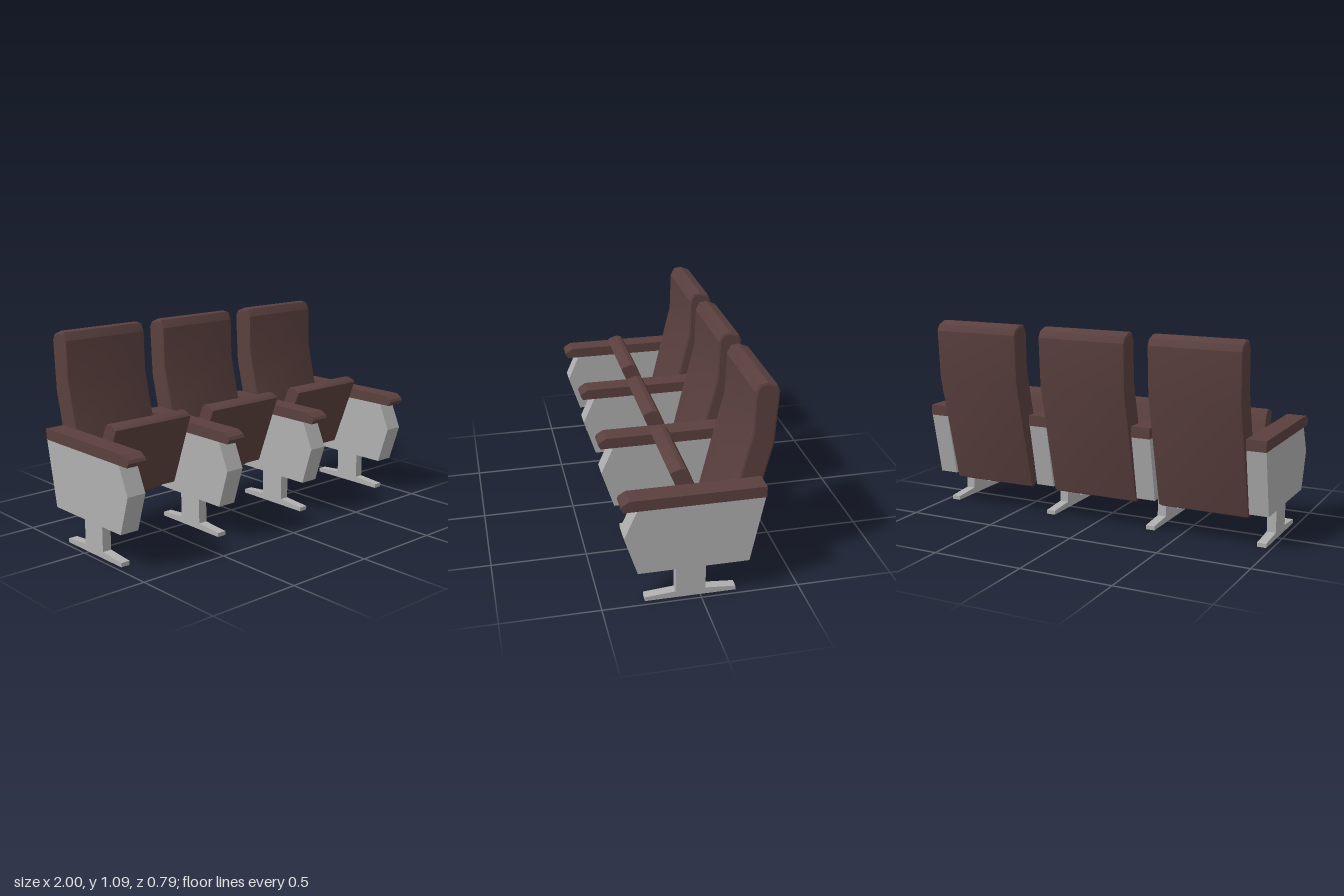
import * as THREE from 'three';
import { toCreasedNormals } from 'three/addons/utils/BufferGeometryUtils.js';

// Extrude a side profile of [z, y] points across x, centred on x = 0
function slab(points, width, bevel = 0) {
  const shape = new THREE.Shape(points.map(([z, y]) => new THREE.Vector2(z, y)));
  const depth = width - 2 * bevel;
  const geo = new THREE.ExtrudeGeometry(shape, {
    depth,
    bevelEnabled: bevel > 0,
    bevelThickness: bevel,
    bevelSize: bevel * 0.75,
    bevelOffset: -bevel * 0.75,
    bevelSegments: 2,
  });
  geo.translate(0, 0, -depth / 2);
  geo.rotateY(-Math.PI / 2);
  return geo;
}

export function createModel() {
  const model = new THREE.Group();
  model.name = 'seatRow';

  const upholstery = new THREE.MeshStandardMaterial({ color: 0x5a403e });
  upholstery.name = 'brown upholstery';
  const metal = new THREE.MeshStandardMaterial({ color: 0xb0b0b0 });
  metal.name = 'grey metal';

  const add = (group, name, geo, material) => {
    const mesh = new THREE.Mesh(geo, material);
    mesh.name = name;
    group.add(mesh);
  };

  // Backrest: upright headrest bending into a sloped lower part
  const backGeo = toCreasedNormals(slab([
    [-0.115, 0.21], [-0.16, 0.185], [-0.215, 0.158], [-0.235, 0.167],
    [-0.38, 0.765], [-0.395, 1.035], [-0.378, 1.068], [-0.33, 1.087],
    [-0.29, 1.083], [-0.268, 1.04], [-0.262, 0.83], [-0.205, 0.595],
  ], 0.505, 0.017), 0.4);

  // Folded seat cushion, slightly narrower towards its upper edge
  const seatGeo = slab([
    [-0.03, 0.245], [-0.085, 0.25], [-0.105, 0.275], [0.02, 0.595],
    [0.04, 0.645], [0.055, 0.664], [0.08, 0.67], [0.12, 0.657], [0.135, 0.645],
  ], 0.51, 0.006);
  const pos = seatGeo.attributes.position;
  for (let i = 0; i < pos.count; i++) {
    const t = (pos.getY(i) - 0.25) / 0.42;
    pos.setX(i, pos.getX(i) * (1 - 0.07 * t));
  }
  const creasedSeat = toCreasedNormals(seatGeo, 0.4);

  [-0.64, -0.009, 0.637].forEach((x, i) => {
    const chair = new THREE.Group();
    chair.name = `chair${i + 1}`;
    chair.position.x = x;
    add(chair, 'backrest', backGeo, upholstery);
    add(chair, 'foldedSeat', creasedSeat, upholstery);
    model.add(chair);
  });

  // Stands between the chairs: side panel, armrest and T-shaped leg
  const panelGeo = slab([
    [0.32, 0.185], [0.385, 0.39], [0.32, 0.535], [-0.31, 0.535], [-0.24, 0.185],
  ].reverse(), 0.105);
  const armGeo = slab([
    [-0.315, 0.535], [0.385, 0.535], [0.398, 0.557], [0.39, 0.572],
    [0.355, 0.593], [-0.315, 0.593],
  ], 0.106);
  const legGeo = slab([
    [-0.182, 0], [0.28, 0], [0.28, 0.022], [0.125, 0.035], [0.125, 0.185],
    [-0.027, 0.185], [-0.027, 0.035], [-0.182, 0.022],
  ], 0.05);

  [-0.947, -0.318, 0.299, 0.947].forEach((x, i) => {
    const stand = new THREE.Group();
    stand.name = `stand${i + 1}`;
    stand.position.x = x;
    add(stand, 'sidePanel', panelGeo, metal);
    add(stand, 'armrest', armGeo, upholstery);
    add(stand, 'leg', legGeo, metal);
    model.add(stand);
  });

  return model;
}
